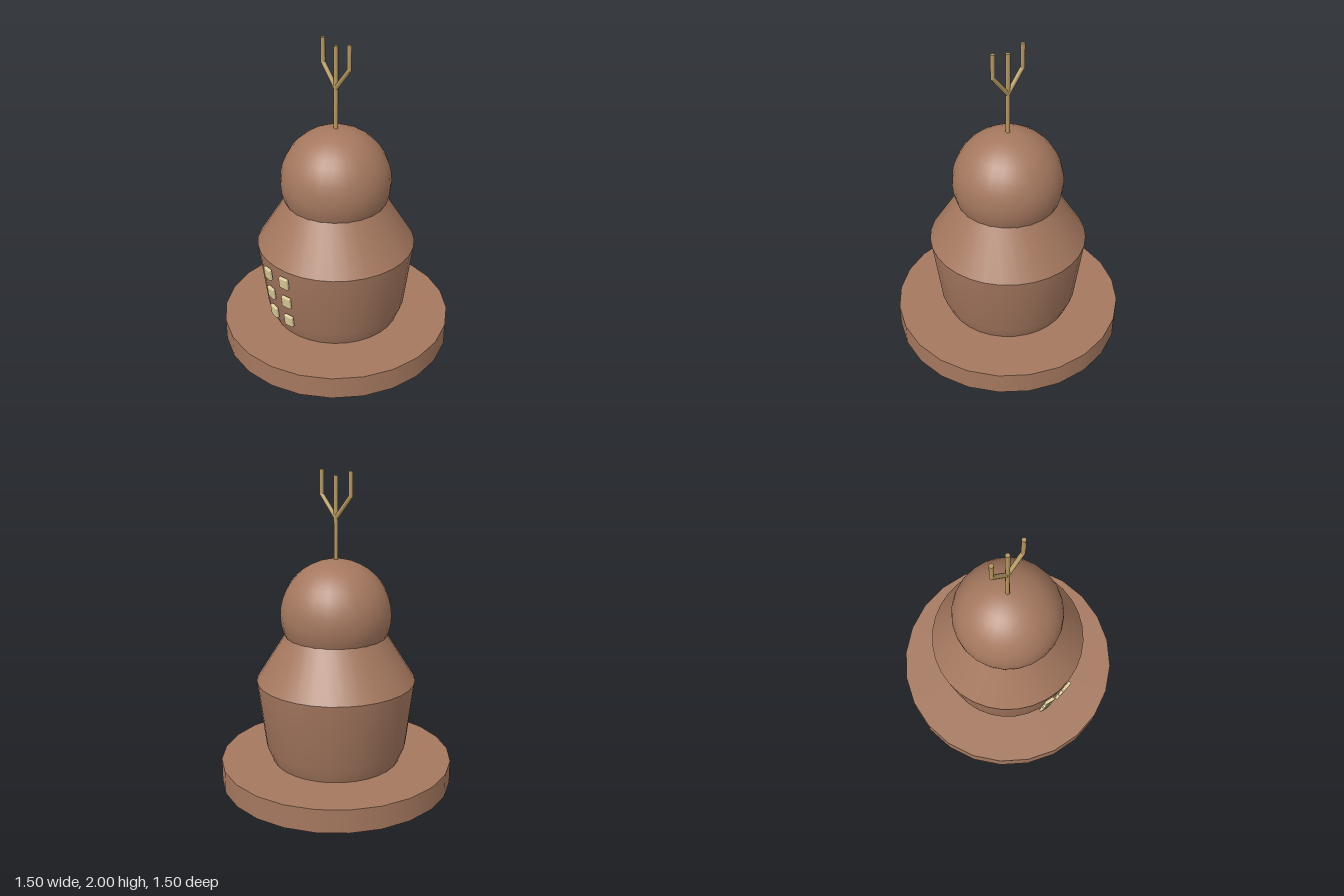
import * as THREE from 'three';
import { RoundedBoxGeometry } from 'three/addons/geometries/RoundedBoxGeometry.js';
import { toCreasedNormals } from 'three/addons/utils/BufferGeometryUtils.js';

const material = (name, color) => {
  const m = new THREE.MeshStandardMaterial({ color });
  m.name = name;
  return m;
};

export function createModel() {
  const model = new THREE.Group();
  model.name = 'domedTower';
  const clay = material('clay brown', 0xa5785f);
  const brass = material('brass', 0xb3965f);
  const cream = material('window cream', 0xdccb98);

  const add = (name, geometry, mat, parent = model) => {
    const mesh = new THREE.Mesh(geometry, mat);
    mesh.name = name;
    parent.add(mesh);
    return mesh;
  };

  // Round plinth
  add('base', new THREE.CylinderGeometry(0.75, 0.75, 0.15, 24), clay).position.y = 0.075;

  // Flared body with a sloping shoulder, closed inside the dome
  const profile = [[0, 0.14], [0.405, 0.14], [0.415, 0.15], [0.455, 0.25], [0.508, 0.685], [0.322, 0.98], [0, 0.98]]
    .map(([x, y]) => new THREE.Vector2(x, y));
  add('body', toCreasedNormals(new THREE.LatheGeometry(profile, 32), 0.4), clay);

  // Dome
  add('dome', new THREE.SphereGeometry(0.35, 24, 20), clay).position.y = 1.11;

  // Two columns of windows following the curve and lean of the wall
  const windows = new THREE.Group();
  windows.name = 'windows';
  model.add(windows);
  const pane = new RoundedBoxGeometry(0.068, 0.08, 0.024, 2, 0.008);
  for (const side of [-1, 1]) {
    for (const y of [0.3, 0.45, 0.6]) {
      const angle = side * 0.145;
      const radius = 0.461 + (y - 0.25) * 0.12;
      const mesh = add('window', pane, cream, windows);
      mesh.position.set(Math.sin(angle) * radius + side * 0.003, y, Math.cos(angle) * radius + 0.008);
      mesh.rotation.set(0.11, angle, 0, 'YXZ');
    }
  }

  // Three-pronged mast
  const mast = new THREE.Group();
  mast.name = 'mast';
  model.add(mast);
  const rod = (name, x0, y0, x1, y1) => {
    const length = Math.hypot(x1 - x0, y1 - y0);
    const mesh = add(name, new THREE.CylinderGeometry(0.014, 0.014, length, 10), brass, mast);
    mesh.position.set((x0 + x1) / 2, (y0 + y1) / 2, 0);
    mesh.rotation.z = -Math.atan2(x1 - x0, y1 - y0);
  };
  rod('stem', 0, 1.42, 0, 1.97);
  for (const side of [-1, 1]) {
    rod('branch', 0, 1.715, side * 0.112, 1.85);
    rod('prong', side * 0.112, 1.845, side * 0.112, 2);
  }
  return model;
}
